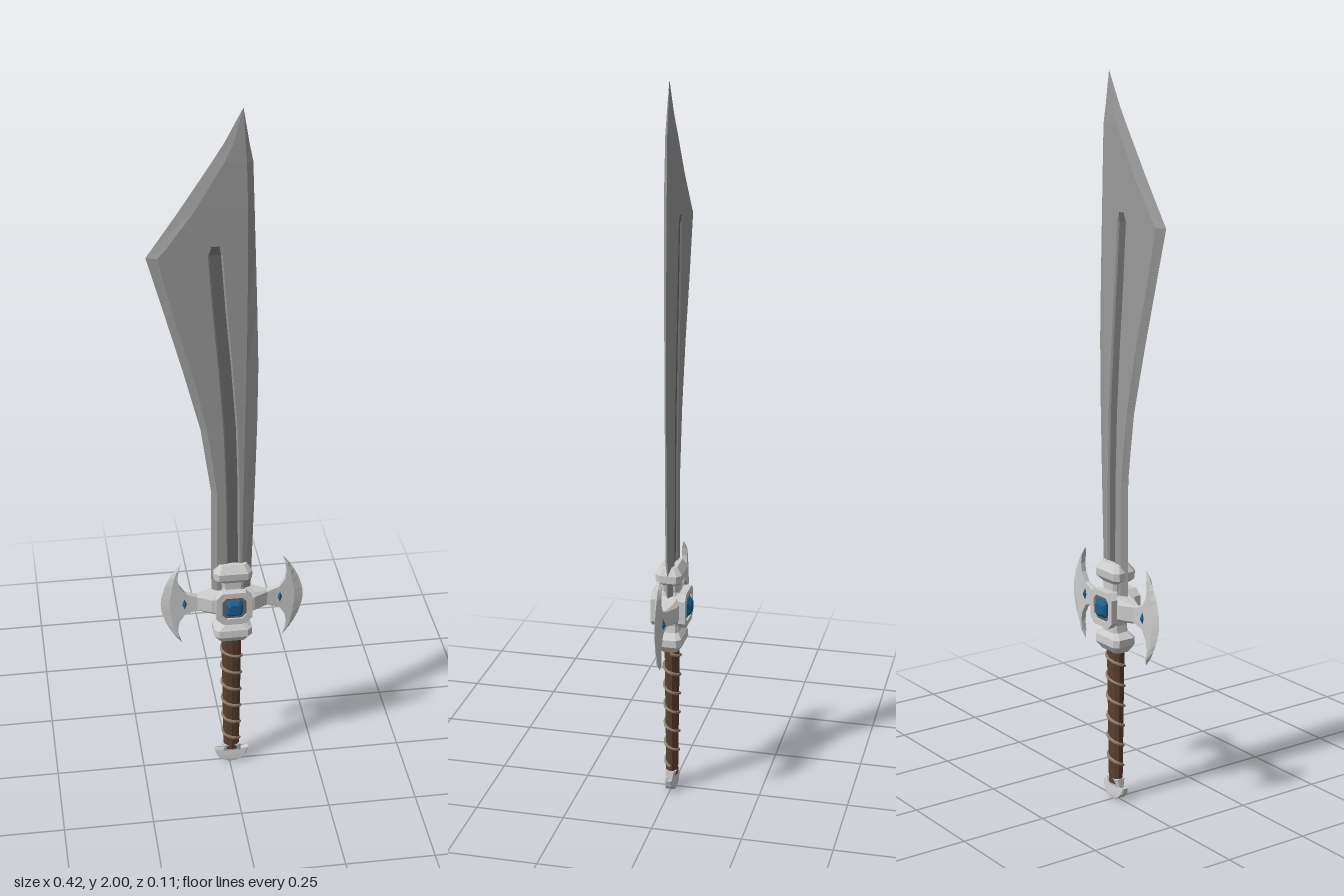
import * as THREE from 'three';

const mat = (color, side = THREE.FrontSide) => new THREE.MeshStandardMaterial({ color, side, flatShading: true });
const STEEL = mat(0xcccccc), BLADE = mat(0x999999), DARK = mat(0x686868);
const GEM = mat(0x1f5f8b), LEATHER = mat(0x5c4030), STRAP = mat(0x94806f);

function add(parent, name, geometry, material) {
  const mesh = new THREE.Mesh(geometry, material);
  mesh.name = name;
  parent.add(mesh);
  return mesh;
}

function build(positions, index) {
  const g = new THREE.BufferGeometry();
  g.setAttribute('position', new THREE.Float32BufferAttribute(positions, 3));
  g.setIndex(index);
  const flat = g.toNonIndexed();
  flat.computeVertexNormals();
  return flat;
}

// Flat blade: rows rise in y, each holding [x, z] columns left to right, mirrored to the back
function plate(rows) {
  const pos = [], idx = [], n = rows[0].cols.length;
  for (const s of [1, -1]) {
    const base = pos.length / 3;
    for (const { y, cols } of rows) for (const [x, z] of cols) pos.push(x, y, z * s);
    for (let r = 0; r < rows.length - 1; r++) for (let c = 0; c < n - 1; c++) {
      const a = base + r * n + c, b = a + 1, d = a + n, e = d + 1;
      if (s > 0) idx.push(a, b, e, a, e, d);
      else idx.push(a, e, b, a, d, e);
    }
  }
  return build(pos, idx);
}

// Chamfered rectangle corners, counter-clockwise
function octagon(hx, hz, k = 0.35) {
  const c = Math.min(hx, hz) * k;
  return [[hx, c - hz], [hx, hz - c], [hx - c, hz], [c - hx, hz],
    [-hx, hz - c], [-hx, c - hz], [c - hx, -hz], [hx - c, -hz]];
}

// Solid from chamfered rectangles [y, half width, half depth], rising in y
function loft(rings, k) {
  const pos = [], idx = [], last = (rings.length - 1) * 8;
  for (const [y, hx, hz] of rings) for (const [x, z] of octagon(hx, hz, k)) pos.push(x, y, z);
  for (let r = 0; r < last; r += 8) for (let i = 0; i < 8; i++) {
    const a = r + i, b = r + (i + 1) % 8;
    idx.push(a, a + 8, b, b, a + 8, b + 8);
  }
  for (let i = 1; i < 7; i++) idx.push(0, i, i + 1, last, last + i + 1, last + i);
  return build(pos, idx);
}

function makeBlade(sword) {
  // y, back edge, back bevel, front bevel, front edge, groove centre, groove half width, thickness, groove depth
  const stations = [
    [0.60, -0.05, -0.035, 0.034, 0.060, 0.010, 0.017, 0.012, 0.005],
    [0.92, -0.05, -0.035, 0.038, 0.070, 0.008, 0.018, 0.012, 0.005],
    [1.11, -0.077, -0.06, 0.041, 0.075, 0.002, 0.019, 0.012, 0.005],
    [1.29, -0.123, -0.10, 0.044, 0.077, -0.011, 0.019, 0.012, 0.005],
    [1.45, -0.167, -0.145, 0.046, 0.073, -0.025, 0.019, 0.012, 0.005],
    [1.615, -0.213, -0.185, 0.046, 0.068, -0.037, 0.019, 0.012, 0.005],
    [1.64, -0.195, -0.163, 0.046, 0.067, -0.038, 0.011, 0.012, 0],
    [1.74, -0.125, -0.088, 0.046, 0.064, -0.02, 0.008, 0.011, 0],
    [1.86, -0.045, -0.015, 0.043, 0.060, 0.015, 0.005, 0.009, 0],
    [1.91, -0.013, 0.010, 0.040, 0.050, 0.025, 0.004, 0.006, 0],
    [2.00, 0.035, 0.035, 0.035, 0.035, 0.035, 0, 0, 0],
  ];
  add(sword, 'blade', plate(stations.map(([y, xl, bl, br, xr, c, w, t, d]) => ({
    y,
    cols: [[xl, 0], [bl, t], [c - w, t], [c - w * 0.75, t - d],
      [c + w * 0.75, t - d], [c + w, t], [br, t], [xr, 0]],
  }))), BLADE);
  // Darker floor of the groove
  add(sword, 'bladeGroove', plate(stations.slice(0, 7).map(([y, , , , , c, w, t, d]) => ({
    y, cols: [[c - w * 0.95, t - d + 0.0006], [c + w * 0.95, t - d + 0.0006]],
  }))), DARK);
}

function makeGuard() {
  const guard = new THREE.Group();
  guard.name = 'guard';
  guard.position.set(0.008, 0.56, 0);

  // Flared collars above and below the centre block
  const collar = [[0.02, 0.036, 0.034], [0.05, 0.029, 0.024], [0.07, 0.032, 0.024],
    [0.084, 0.053, 0.035], [0.105, 0.053, 0.037], [0.126, 0.038, 0.022]];
  add(guard, 'upperCollar', loft(collar), STEEL);
  add(guard, 'lowerCollar', loft(collar), STEEL).rotation.x = Math.PI;

  // Centre block with a raised frame and a gem on each face
  add(guard, 'centreBlock', loft([[-0.041, 0.045, 0.046], [0.041, 0.045, 0.046]], 0.45).rotateX(Math.PI / 2), STEEL);
  const frame = new THREE.Shape(octagon(0.05, 0.05).map(p => new THREE.Vector2(...p)));
  frame.holes.push(new THREE.Path(octagon(0.034, 0.034).reverse().map(p => new THREE.Vector2(...p))));
  const frameGeo = new THREE.ExtrudeGeometry(frame, { depth: 0.02, bevelEnabled: false });
  for (const turn of [0, Math.PI]) {
    const face = new THREE.Group();
    face.name = turn ? 'backFace' : 'frontFace';
    face.rotation.y = turn;
    add(face, 'gemFrame', frameGeo, STEEL).position.z = 0.028;
    add(face, 'gemSeat', loft([[0.035, 0.034, 0.034], [0.0425, 0.034, 0.034]]).rotateX(Math.PI / 2), DARK);
    add(face, 'gem', loft([[0.04, 0.025, 0.025], [0.048, 0.024, 0.024], [0.057, 0.015, 0.015]]).rotateX(Math.PI / 2), GEM);
    guard.add(face);
  }

  // Arms ending in crescent axe blades; dy, inner edge, bevel, outer edge
  const half = [[0, 0.115, 0.175, 0.2], [0.022, 0.118, 0.174, 0.198], [0.036, 0.134, 0.171, 0.194],
    [0.06, 0.149, 0.168, 0.187], [0.085, 0.153, 0.163, 0.175], [0.11, 0.149, 0.154, 0.16], [0.134, 0.141, 0.141, 0.141]];
  const rows = [...half.slice(1).reverse().map(([y, ...r]) => [-y, ...r]), ...half];
  const axe = plate(rows.map(([y, a, b, c]) => {
    const t = Math.abs(y) > 0.13 ? 0 : 0.007;
    return { y, cols: [[a, 0], [a, t], [b, t], [c, 0]] };
  }));
  const arm = loft([[0.035, 0.036, 0.034], [0.06, 0.03, 0.029], [0.098, 0.024, 0.009], [0.13, 0.034, 0.0065]])
    .rotateZ(-Math.PI / 2);
  for (const turn of [0, Math.PI]) {
    const side = new THREE.Group();
    side.name = turn ? 'rightArm' : 'leftArm';
    side.rotation.y = turn;
    add(side, 'arm', arm, STEEL);
    add(side, 'axeBlade', axe, STEEL);
    add(side, 'axeGem', new THREE.OctahedronGeometry(1, 0).scale(0.012, 0.032, 0.015), GEM).position.x = 0.134;
    guard.add(side);
  }
  return guard;
}

function makeHandle(sword) {
  const handle = new THREE.Group();
  handle.name = 'handle';
  handle.position.x = 0.006;
  add(handle, 'grip', new THREE.CylinderGeometry(0.029, 0.023, 0.41, 10, 4).scale(1, 1, 0.75), LEATHER).position.y = 0.25;

  // Strap wound around the grip
  const points = [], turns = 6;
  for (let i = 0; i <= turns * 12; i++) {
    const u = i / (turns * 12), a = u * turns * Math.PI * 2, r = 0.0235 + 0.006 * u;
    points.push(new THREE.Vector3(Math.cos(a) * r, 0.075 + 0.35 * u, Math.sin(a) * r * 0.77));
  }
  add(handle, 'gripStrap', new THREE.TubeGeometry(new THREE.CatmullRomCurve3(points), 144, 0.0045, 5), STRAP);

  // Fan-shaped pommel
  add(handle, 'pommel', loft([[0, 0.014, 0.012], [0.008, 0.03, 0.013], [0.02, 0.042, 0.012],
    [0.04, 0.049, 0.009], [0.034, 0.028, 0.009], [0.06, 0.025, 0.016]]), STEEL);
  sword.add(handle);
}

export function createModel() {
  const sword = new THREE.Group();
  sword.name = 'sword';
  makeBlade(sword);
  sword.add(makeGuard());
  makeHandle(sword);
  return sword;
}
